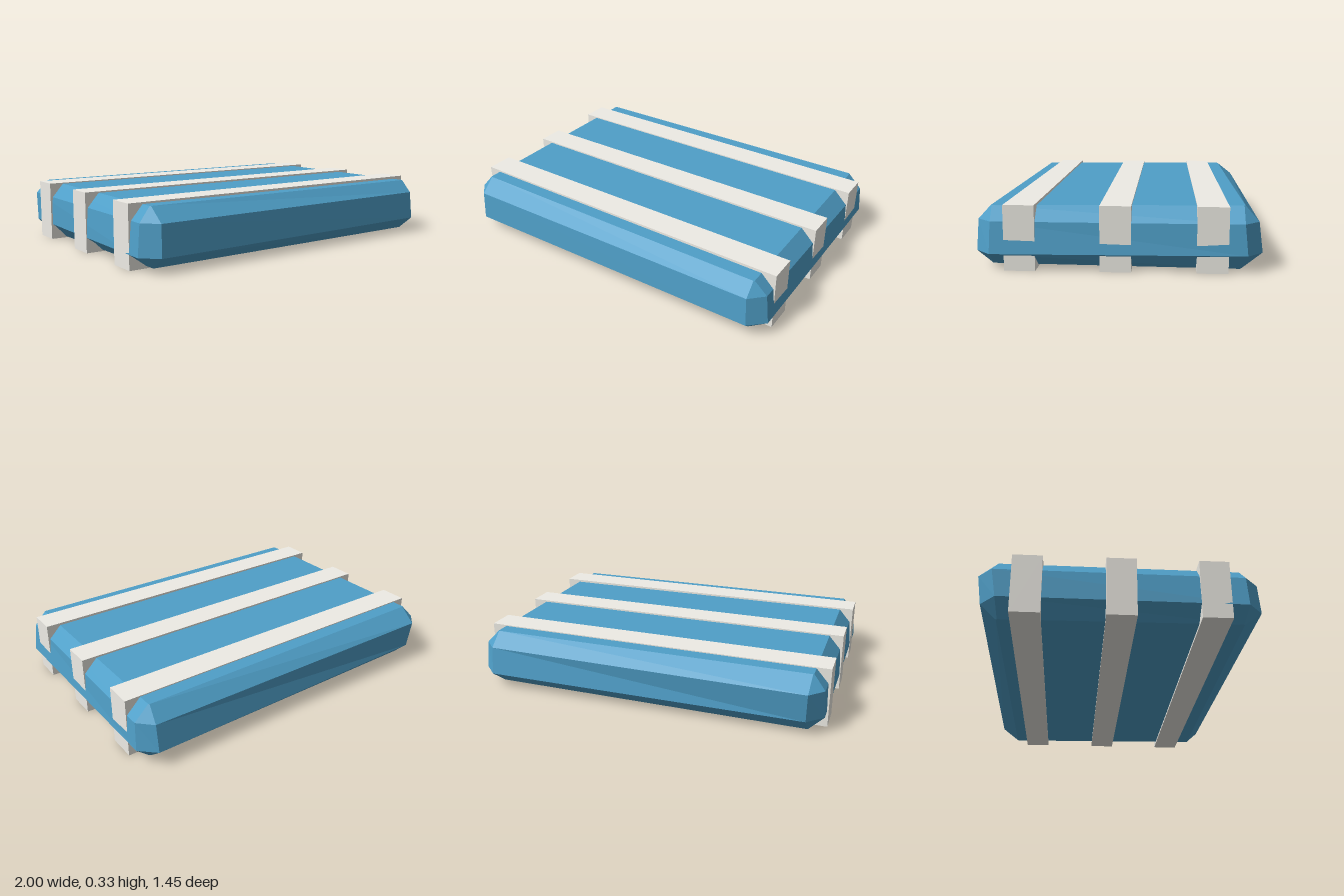
import * as THREE from 'three';

// Builds a flat-shaded closed solid from stacked eight-cornered rings (bottom to top).
function loftRings(rings) {
  const n = rings[0].length;
  const positions = [];
  const add = (...points) => points.forEach((p) => positions.push(...p));
  for (let r = 0; r < rings.length - 1; r++) {
    for (let i = 0; i < n; i++) {
      const j = (i + 1) % n;
      const a = rings[r][i], b = rings[r][j], c = rings[r + 1][j], d = rings[r + 1][i];
      add(a, d, c, a, c, b);
    }
  }
  const bottom = rings[0], top = rings[rings.length - 1];
  for (let i = 1; i < n - 1; i++) {
    add(bottom[0], bottom[i], bottom[i + 1]);
    add(top[0], top[i + 1], top[i]);
  }
  const geometry = new THREE.BufferGeometry();
  geometry.setAttribute('position', new THREE.Float32BufferAttribute(positions, 3));
  geometry.computeVertexNormals();
  return geometry;
}

// One ring; each corner is [x, y, z] and is cut by cutX and cutZ.
function ring(corners, cutX, cutZ) {
  return corners.flatMap(([x, y, z], i) => {
    const alongX = [x - Math.sign(x) * cutX, y, z];
    const alongZ = [x, y, z - Math.sign(z) * cutZ];
    return i % 2 ? [alongX, alongZ] : [alongZ, alongX];
  });
}

export function createModel() {
  const group = new THREE.Group();
  const blue = new THREE.MeshStandardMaterial({ color: 0x4f9fc8, flatShading: true });
  const cream = new THREE.MeshStandardMaterial({ color: 0xeeece5, flatShading: true });

  // Slightly uneven padded body; corners run back left, back right, front right, front left.
  const rings = [
    ring([[-0.91, 0.005, -0.62], [0.91, 0.005, -0.62], [0.90, 0.015, 0.63], [-0.91, 0.015, 0.63]], 0.005, 0.005),
    ring([[-0.99, 0.09, -0.705], [0.995, 0.09, -0.725], [1.0, 0.085, 0.705], [-1.0, 0.08, 0.72]], 0.085, 0.08),
    ring([[-0.985, 0.25, -0.725], [0.985, 0.245, -0.705], [0.98, 0.245, 0.695], [-0.985, 0.245, 0.71]], 0.075, 0.075),
    ring([[-0.92, 0.325, -0.63], [0.905, 0.325, -0.635], [0.91, 0.315, 0.63], [-0.92, 0.32, 0.625]], 0.005, 0.005),
  ];
  const body = new THREE.Mesh(loftRings(rings), blue);
  body.name = 'paddedBody';
  group.add(body);

  // Three straps wrapped around the body.
  [['backStrap', -0.475], ['middleStrap', 0], ['frontStrap', 0.475]].forEach(([name, z]) => {
    const strap = new THREE.Mesh(new THREE.BoxGeometry(1.99, 0.33, 0.155), cream);
    strap.name = name;
    strap.position.set(-0.004, 0.165, z);
    group.add(strap);
  });
  return group;
}
